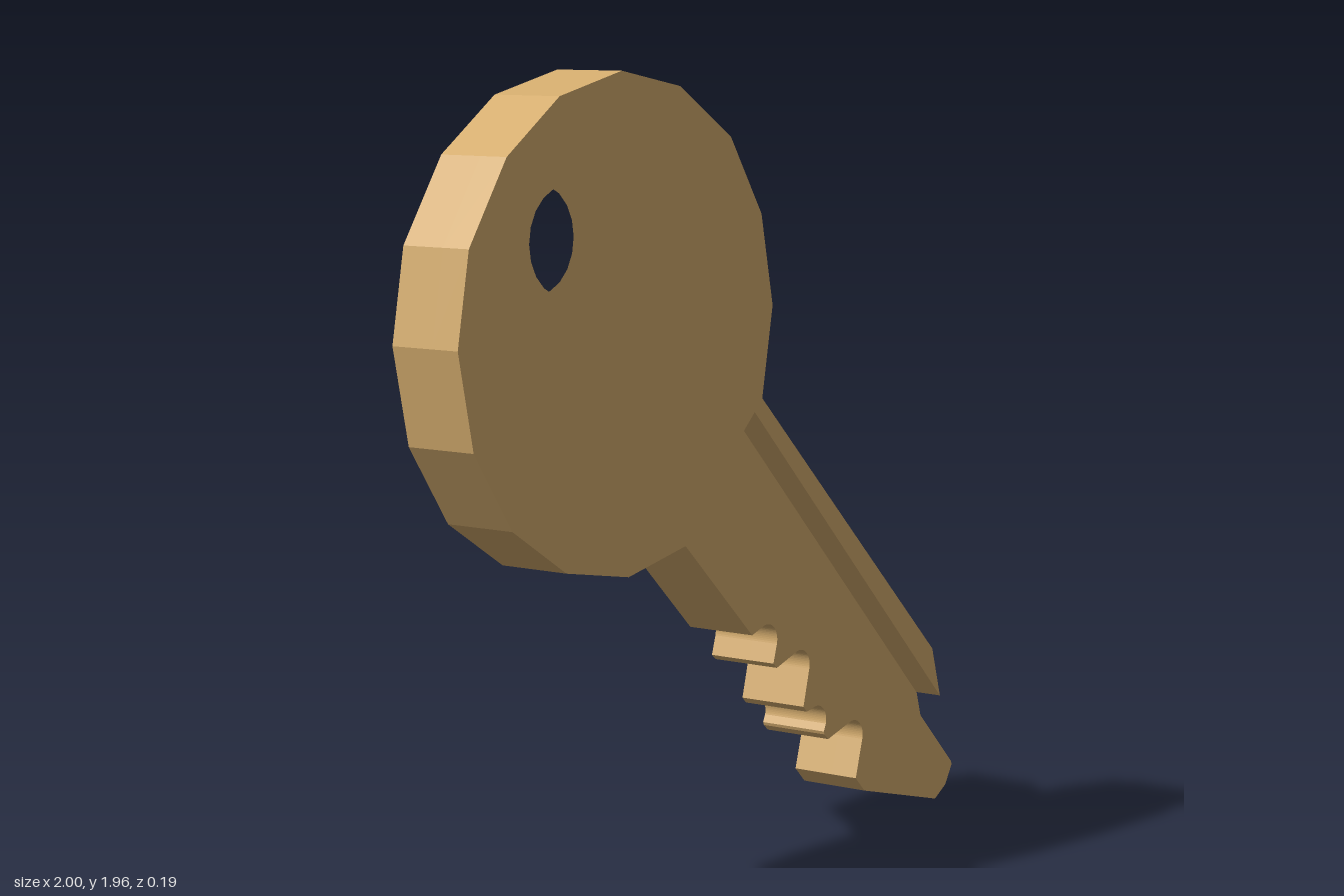
import * as THREE from 'three';

// Bow (round head) and blade edge, clockwise from the lower shoulder to the blade's top corner
const UPPER = [
  [-0.18, 0.83], [-0.4, 0.785], [-0.63, 0.825], [-0.82, 0.945], [-0.95, 1.135],
  [-1, 1.365], [-0.96, 1.585], [-0.83, 1.78], [-0.645, 1.908], [-0.42, 1.96],
  [-0.2, 1.92], [0, 1.795], [0.125, 1.605], [0.172, 1.38], [0.13, 1.155], [0.9, 0.415],
];
// Groove cut into the front layer, open at the tip
const GROOVE = [[0.939, 0.282], [0.099, 1.124], [0.03, 1.06], [0.996, 0.094]];
const TIP = [[1, 0.085], [0.97, 0.035], [0.92, 0.005]];
// Each cut: tooth corners leading in, then the centre and radius of its rounded root
const CUTS = [
  { tooth: [[0.585, 0.09], [0.545, 0.13]], root: [0.53, 0.24, 0.045] },
  { tooth: [[0.42, 0.255], [0.403, 0.27], [0.4, 0.278]], root: [0.368, 0.308, 0.042] },
  { tooth: [[0.325, 0.342], [0.31, 0.357]], root: [0.293, 0.462, 0.043] },
  { tooth: [[0.195, 0.475], [0.18, 0.488]], root: [0.152, 0.547, 0.044] },
];

function keyShape(grooved) {
  const shape = new THREE.Shape();
  const line = (points) => points.forEach(([x, y]) => shape.lineTo(x, y));
  shape.moveTo(...UPPER[0]);
  line(UPPER.slice(1));
  if (grooved) line(GROOVE);
  line(TIP);
  for (const { tooth, root } of CUTS) {
    line(tooth);
    shape.absarc(...root, -Math.PI / 12, Math.PI * 7 / 12, false);
  }
  line([[0.09, 0.573]]);
  shape.closePath();

  // Key ring hole
  const hole = new THREE.Path();
  hole.absarc(-0.63, 1.583, 0.125, 0, Math.PI * 2, true);
  shape.holes.push(hole);
  return shape;
}

export function createModel() {
  const group = new THREE.Group();
  group.name = 'key';
  const brass = new THREE.MeshStandardMaterial({ color: 0xd4ac6e });

  const addLayer = (name, grooved, z0, z1) => {
    const geometry = new THREE.ExtrudeGeometry(keyShape(grooved), {
      depth: z1 - z0, bevelEnabled: false, curveSegments: 10,
    });
    geometry.translate(0, 0, z0);
    const mesh = new THREE.Mesh(geometry, brass);
    mesh.name = name;
    group.add(mesh);
  };

  // Solid back layer forms the groove floor; the front layer carries the groove
  addLayer('keyBody', false, -0.095, 0.02);
  addLayer('groovedFront', true, 0.02, 0.095);
  return group;
}
